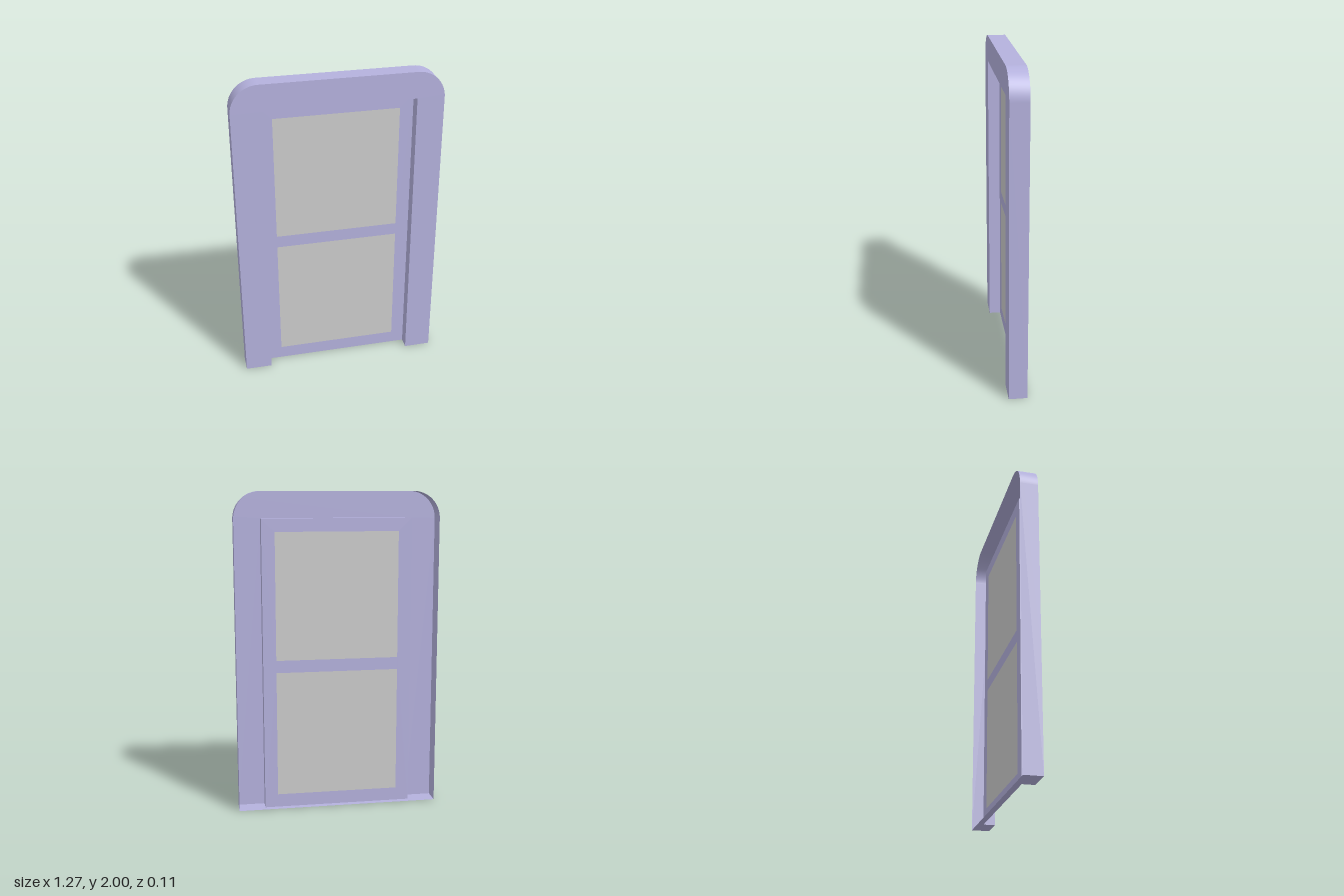
import * as THREE from 'three';

const W = 0.637, H = 2, R = 0.168;      // outer frame half width, height, corner radius
const OW = 0.469, OH = 1.836;           // doorway half width and height
const FRONT = 0.057, BACK = -0.057, DOOR = -0.018; // depths of frame and door plane
const PANE_W = 0.387;
const PANES = [[0.083, 0.879], [0.957, 1.755]];    // bottom and top of each pane

const purple = new THREE.MeshStandardMaterial({ color: 0xb4b1dd, side: THREE.DoubleSide });
const grey = new THREE.MeshStandardMaterial({ color: 0xcccccc, side: THREE.DoubleSide });

// Sweeps an open outline from depth z0 to z1, normals to the right of travel
function wall(points, z0, z1, smooth) {
  const pos = [], index = [];
  points.forEach((p, i) => {
    pos.push(p.x, p.y, z0, p.x, p.y, z1);
    if (i) {
      const a = 2 * i - 2;
      index.push(a, a + 2, a + 3, a, a + 3, a + 1);
    }
  });
  let geo = new THREE.BufferGeometry();
  geo.setAttribute('position', new THREE.Float32BufferAttribute(pos, 3));
  geo.setIndex(index);
  if (!smooth) geo = geo.toNonIndexed();
  geo.computeVertexNormals();
  return geo;
}

const polygon = (pts) => new THREE.Shape(pts.map(([x, y]) => new THREE.Vector2(x, y)));
const rect = (w, y0, y1) => polygon([[-w, y0], [w, y0], [w, y1], [-w, y1]]);

export function createModel() {
  const group = new THREE.Group();
  const add = (name, geometry, material = purple) => {
    const mesh = new THREE.Mesh(geometry, material);
    mesh.name = name;
    group.add(mesh);
    return mesh;
  };

  // Outer outline with two rounded top corners, right foot to left foot
  const outline = [new THREE.Vector2(W, 0)];
  for (const side of [0, 1]) {
    const cx = side ? R - W : W - R;
    for (let i = 0; i <= 16; i++) {
      const a = (side + i / 16) * Math.PI / 2;
      outline.push(new THREE.Vector2(cx + R * Math.cos(a), H - R + R * Math.sin(a)));
    }
  }
  outline.push(new THREE.Vector2(-W, 0));

  // Doorway outline, left foot to right foot
  const doorway = [[-OW, 0], [-OW, OH], [OW, OH], [OW, 0]].map(([x, y]) => new THREE.Vector2(x, y));

  // Hollow frame, open at the back
  add('frameFront', new THREE.ShapeGeometry(new THREE.Shape([...outline, ...doorway]))).position.z = FRONT;
  add('frameOuterWall', wall(outline, BACK, FRONT, true));
  add('doorwayReveal', wall(doorway, DOOR, FRONT, false));

  // Underside, notched where the doorway is recessed
  const base = polygon([[-W, BACK], [W, BACK], [W, FRONT], [OW, FRONT],
    [OW, DOOR], [-OW, DOOR], [-OW, FRONT], [-W, FRONT]]);
  add('frameBase', new THREE.ShapeGeometry(base).rotateX(Math.PI / 2));

  // Door leaf with two flush panes
  const door = rect(OW, 0, OH);
  PANES.forEach(([y0, y1], i) => {
    const pane = rect(PANE_W, y0, y1);
    door.holes.push(pane);
    add(i ? 'upperPane' : 'lowerPane', new THREE.ShapeGeometry(pane), grey).position.z = DOOR;
  });
  add('doorLeaf', new THREE.ShapeGeometry(door)).position.z = DOOR;

  return group;
}
